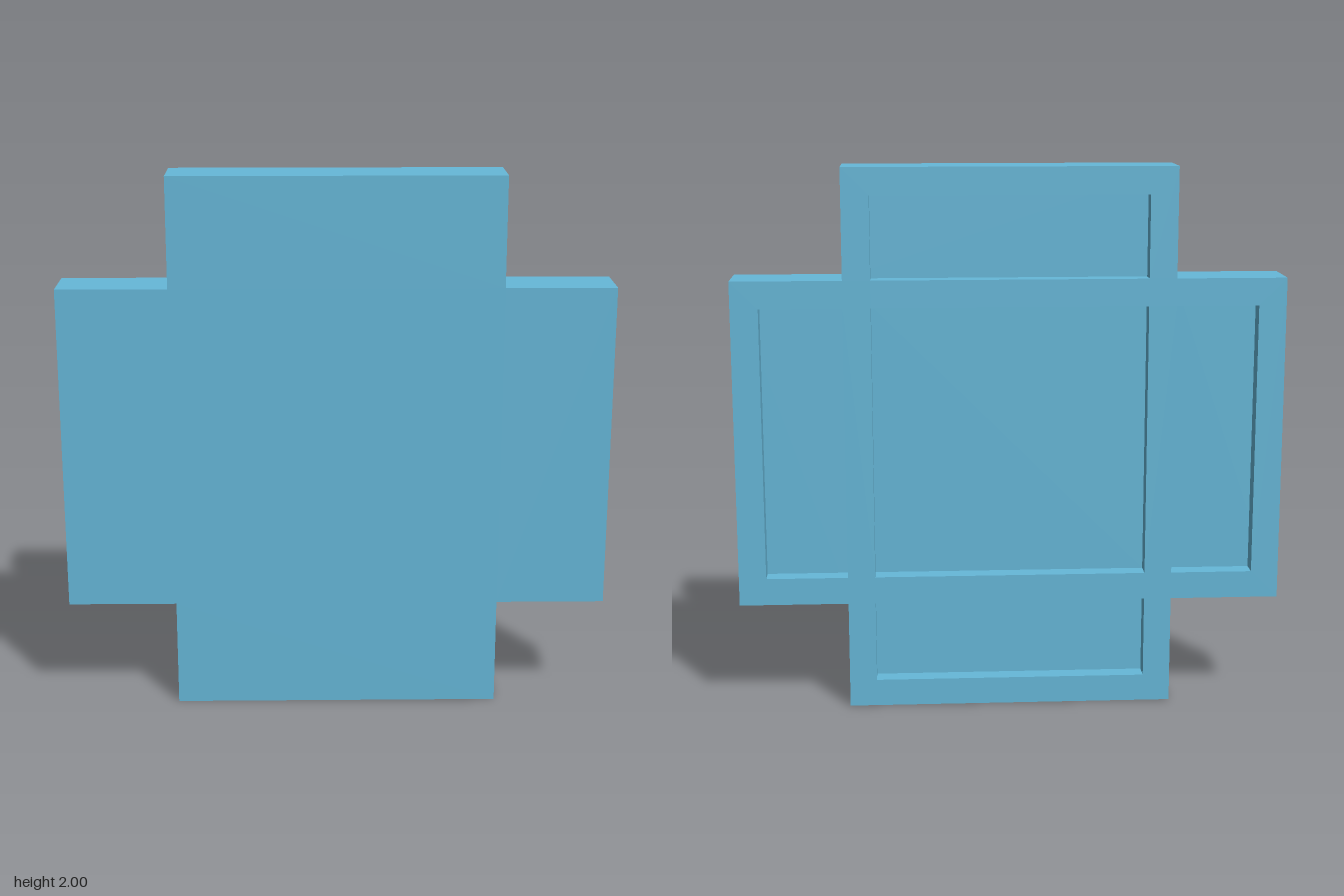
import * as THREE from 'three';

const THICKNESS = 0.2;
const RECESS = THICKNESS / 3;

// Outline of the broad cross, standing on y = 0
function crossShape() {
  const a = 0.6, b = 1;
  const corners = [
    [-a, 0], [a, 0], [a, 0.4], [b, 0.4], [b, 1.6], [a, 1.6],
    [a, 2], [-a, 2], [-a, 1.6], [-b, 1.6], [-b, 0.4], [-a, 0.4],
  ];
  return new THREE.Shape(corners.map(([x, y]) => new THREE.Vector2(x, y)));
}

// Rectangular opening from centre and size
function rectHole(cx, cy, w, h) {
  const x = w / 2, y = h / 2;
  return new THREE.Path([
    new THREE.Vector2(cx - x, cy - y),
    new THREE.Vector2(cx - x, cy + y),
    new THREE.Vector2(cx + x, cy + y),
    new THREE.Vector2(cx + x, cy - y),
  ]);
}

function slab(name, shape, z, depth, material) {
  const geometry = new THREE.ExtrudeGeometry(shape, { depth, bevelEnabled: false });
  geometry.translate(0, 0, z);
  const mesh = new THREE.Mesh(geometry, material);
  mesh.name = name;
  return mesh;
}

export function createModel() {
  const group = new THREE.Group();
  group.name = 'crossPanel';
  const material = new THREE.MeshStandardMaterial({ color: 0x66b8d9 });

  // Solid front plate, whose back is the floor of the recesses
  group.add(slab('frontPlate', crossShape(), -THICKNESS / 2 + RECESS, THICKNESS - RECESS, material));

  // Back frame: a large centre recess and one in each arm, split by ribs
  const frame = crossShape();
  frame.holes.push(rectHole(0, 1, 1, 1));
  for (const s of [-1, 1]) {
    frame.holes.push(rectHole(s * 0.75, 1, 0.3, 1));
    frame.holes.push(rectHole(0, 1 + s * 0.75, 1, 0.3));
  }
  group.add(slab('backFrame', frame, -THICKNESS / 2, RECESS, material));

  return group;
}
